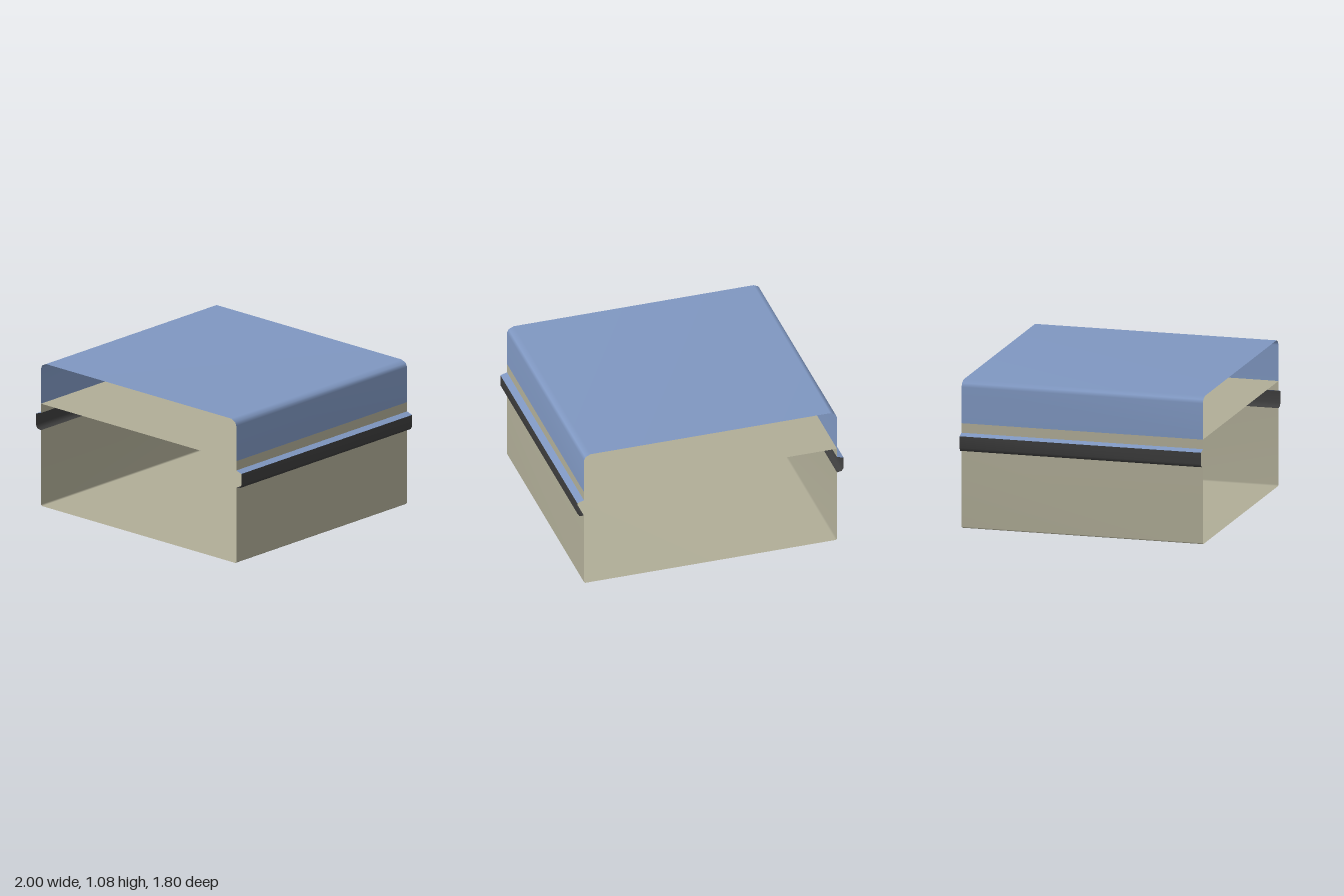
import * as THREE from 'three';

const HALF_LENGTH = 0.9;

// Sheet swept along z from an open section, listed anticlockwise seen from the front
function sheet(points) {
  const positions = [], index = [];
  points.forEach(([x, y], i) => {
    positions.push(x, y, HALF_LENGTH, x, y, -HALF_LENGTH);
    if (i === points.length - 1) return;
    const f = 2 * i;
    index.push(f, f + 1, f + 2, f + 1, f + 3, f + 2);
  });
  const geometry = new THREE.BufferGeometry();
  geometry.setAttribute('position', new THREE.Float32BufferAttribute(positions, 3));
  geometry.setIndex(index);
  geometry.computeVertexNormals();
  return geometry;
}

const mirror = (points) => points.map(([x, y]) => [-x, y]).reverse();

function material(name, color) {
  const m = new THREE.MeshStandardMaterial({ color, side: THREE.DoubleSide });
  m.name = name;
  return m;
}

export function createModel() {
  const group = new THREE.Group();
  group.name = 'openSleeve';
  const tan = material('tan', 0xb0ad97);
  const blue = material('blue', 0x7f97c1);
  const dark = material('charcoal', 0x3d3d3d);

  const add = (name, points, mat) => {
    const mesh = new THREE.Mesh(sheet(points), mat);
    mesh.name = name;
    group.add(mesh);
  };
  const addPair = (name, points, mat) => {
    add('left' + name, points, mat);
    add('right' + name, mirror(points), mat);
  };

  // Lower trough: floor and side walls up to the grooves
  const wall = [[0.94, 0], [0.95, 0.01], [0.95, 0.57]];
  add('trough', [...mirror(wall), ...wall], tan);

  // Side grooves bulging outwards, with a blue sloping top
  addPair('Groove', [[0.95, 0.57], [0.985, 0.575], [1, 0.6], [1, 0.685]], dark);
  addPair('GrooveTop', [[1, 0.685], [0.95, 0.7]], blue);

  // Wall bands above the grooves and the shelf between compartments
  addPair('UpperWall', [[0.95, 0.7], [0.95, 0.77]], tan);
  add('shelf', [[0.95, 0.77], [-0.95, 0.77]], tan);

  // Roof with rounded shoulders
  const shoulder = [[0.95, 0.77], [0.95, 1.035], [0.938, 1.062], [0.9, 1.08]];
  add('roof', [...shoulder, ...mirror(shoulder)], blue);

  return group;
}
